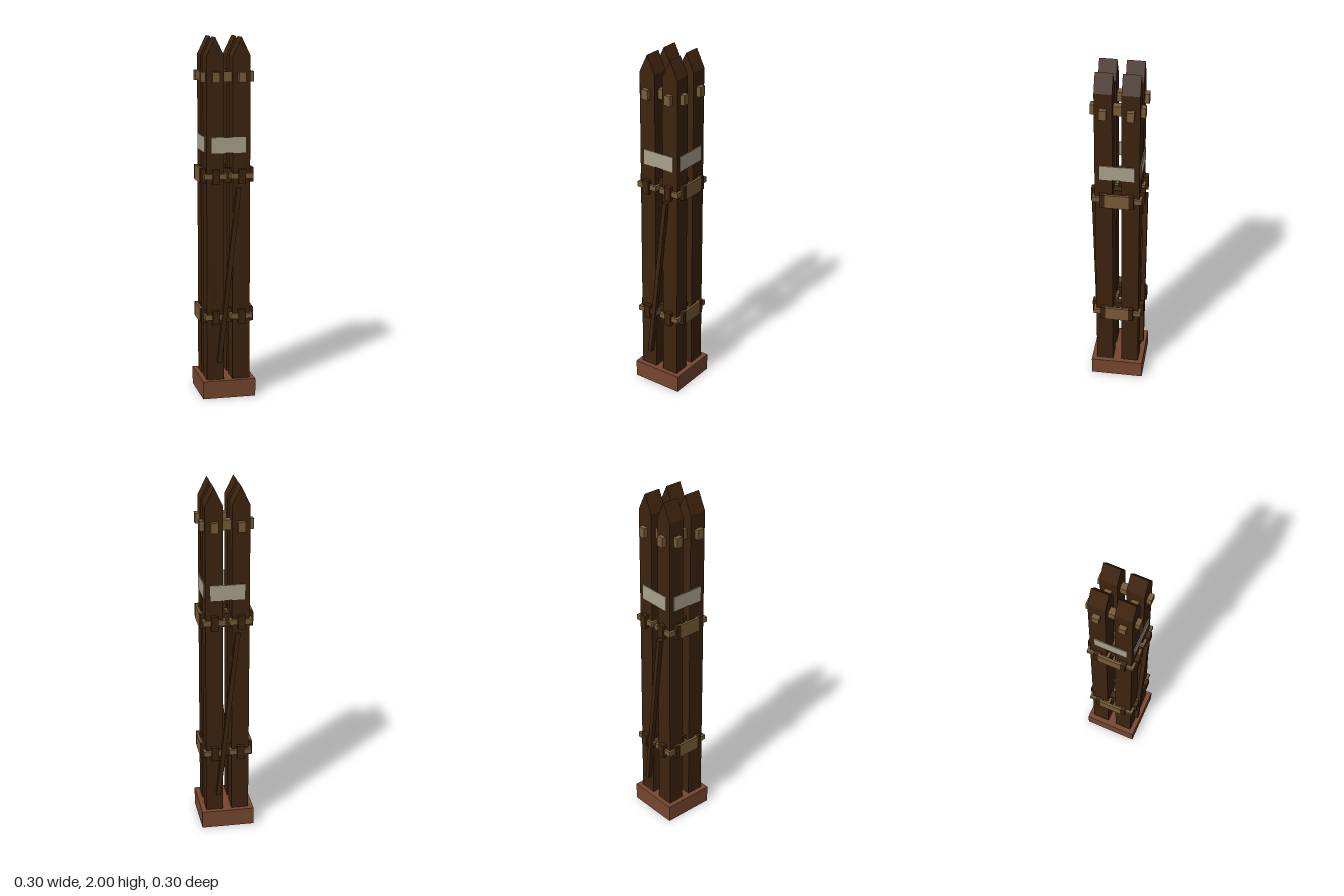
import * as THREE from 'three';

const mat = (name, color) => {
  const m = new THREE.MeshStandardMaterial({ color });
  m.name = name;
  return m;
};

export function createModel() {
  const model = new THREE.Group();
  model.name = 'timberPillar';
  const darkWood = mat('darkWood', 0x3d230e);
  const lightWood = mat('lightWood', 0x775b37);
  const redWood = mat('redWood', 0x75462f);
  const paleBoard = mat('paleBoard', 0xaaa18b);

  const add = (name, geometry, material, x = 0, y = 0, z = 0) => {
    const mesh = new THREE.Mesh(geometry, material);
    mesh.name = name;
    mesh.position.set(x, y, z);
    model.add(mesh);
    return mesh;
  };
  const box = (name, material, w, h, d, x, y, z) =>
    add(name, new THREE.BoxGeometry(w, h, d), material, x, y, z);

  const C = 0.073; // post centre offset
  const P = 0.097; // post width
  const L = 0.294; // length of crossing beams

  box('base', redWood, 0.298, 0.1, 0.298, 0, 0.05, 0);

  // Four posts with gabled tops, ridge along z
  const profile = new THREE.Shape([
    [-P / 2, 0.1], [P / 2, 0.1], [P / 2, 1.9], [0, 2], [-P / 2, 1.9],
  ].map(([x, y]) => new THREE.Vector2(x, y)));
  const postGeometry = new THREE.ExtrudeGeometry(profile, { depth: P, bevelEnabled: false });
  postGeometry.translate(0, 0, -P / 2);

  // Square collar with a hole for the post
  const square = (h) => [[-h, -h], [h, -h], [h, h], [-h, h]].map(([x, y]) => new THREE.Vector2(x, y));
  const ring = new THREE.Shape(square(0.0625));
  ring.holes.push(new THREE.Path(square(P / 2).reverse()));
  const collarGeometry = new THREE.ExtrudeGeometry(ring, { depth: 0.03, bevelEnabled: false });
  collarGeometry.translate(0, 0, -0.015);
  collarGeometry.rotateX(-Math.PI / 2);

  const bands = [0.463, 1.25];
  for (const sx of [-1, 1]) {
    for (const sz of [-1, 1]) {
      add('post', postGeometry, darkWood, sx * C, 0, sz * C);
      for (const y of bands) add('collar', collarGeometry, lightWood, sx * C, y, sz * C);
    }
  }

  for (const s of [-1, 1]) {
    // Light tie beams near the top
    box('topBeamX', lightWood, L, 0.056, 0.04, 0, 1.787, s * C);
    box('topBeamZ', lightWood, 0.04, 0.056, L, s * C, 1.787, 0);

    // Dark tie beams and side plates at the two lower bands
    for (const y of bands) {
      box('tieBeamX', darkWood, L, 0.08, 0.04, 0, y, s * C);
      box('tieBeamZ', darkWood, 0.04, 0.08, L, s * C, y, 0);
      box('sidePlate', lightWood, 0.014, 0.082, 0.13, s * 0.1415, y, 0);
    }

    // Pale boards on all four faces
    box('boardZ', paleBoard, 0.19, 0.086, 0.005, 0, 1.42, s * 0.124);
    box('boardX', paleBoard, 0.005, 0.086, 0.19, s * 0.124, 1.42, 0);

    // Diagonal brace on the front and back
    const brace = box('diagonalBrace', darkWood, 0.025, 0.99, 0.025, 0, 0.695, s * 0.1345);
    brace.rotation.z = -s * Math.atan2(0.11, 0.99);
  }
  return model;
}
